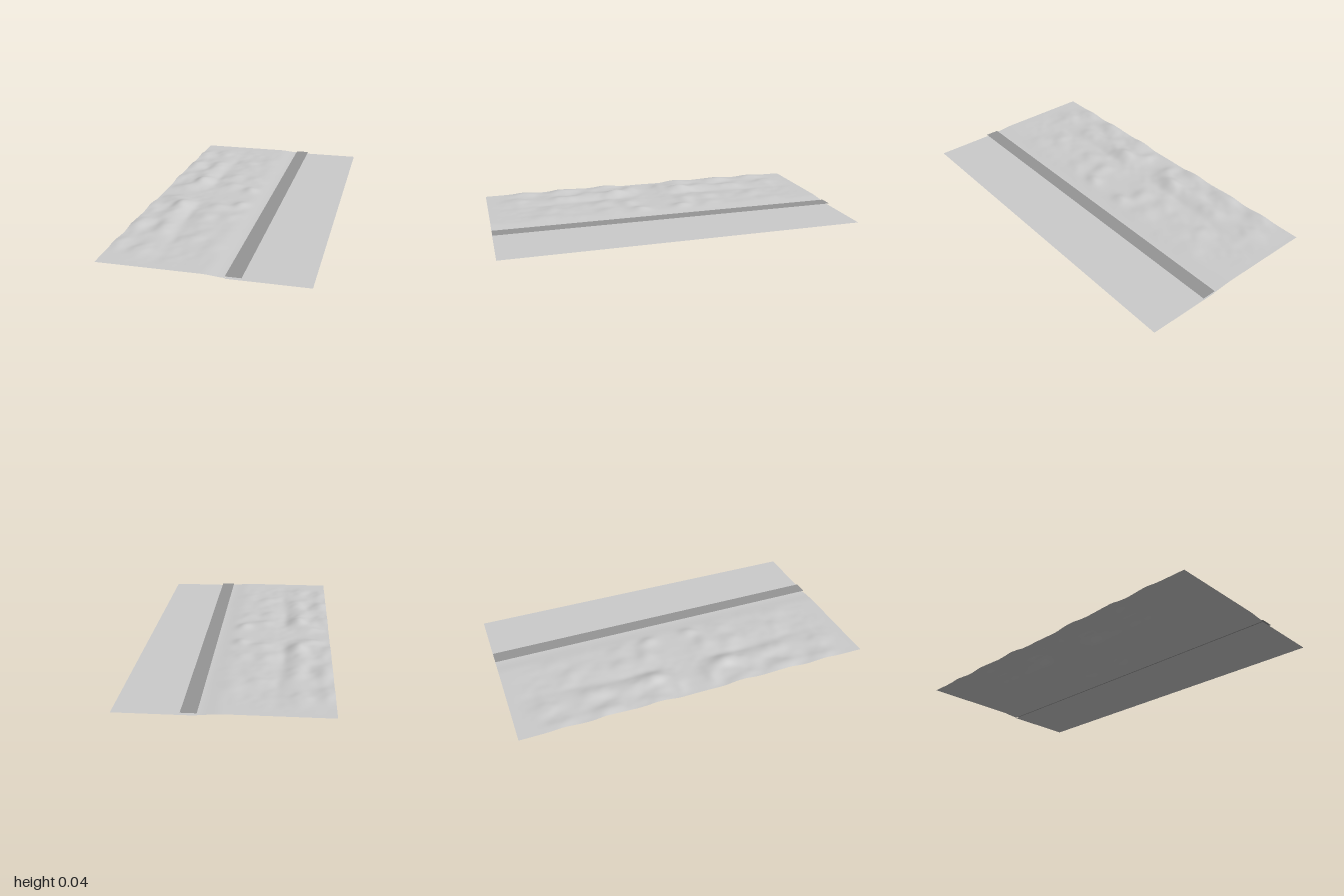
import * as THREE from 'three';

const LEFT = -0.53, SHORE = 0.12, ROAD = 0.2, RIGHT = 0.53;

// Hills of one half of the land: x, distance from the middle, radius x, radius z, height
const HILLS = [
  [-0.35, 0.22, 0.055, 0.09, 0.027], [-0.50, 0.25, 0.06, 0.08, 0.016],
  [-0.49, 0.52, 0.05, 0.09, 0.015], [-0.39, 0.38, 0.06, 0.08, 0.012],
  [-0.34, 0.56, 0.05, 0.10, 0.012], [-0.36, 0.82, 0.06, 0.07, 0.013],
  [-0.50, 0.75, 0.05, 0.07, 0.013], [-0.42, 0.10, 0.06, 0.05, 0.011],
  [-0.14, 0.18, 0.06, 0.05, 0.011], [-0.02, 0.13, 0.04, 0.05, 0.013],
  [-0.17, 0.33, 0.05, 0.06, 0.008], [-0.04, 0.32, 0.05, 0.06, 0.007],
  [-0.13, 0.62, 0.05, 0.09, 0.006], [-0.02, 0.70, 0.05, 0.08, 0.005],
  [-0.27, 0.28, 0.03, 0.14, -0.006], [-0.25, 0.62, 0.03, 0.12, -0.004],
];

// Repeatable value noise in the range -1..1
function lattice(i, j) {
  const s = Math.sin(i * 127.1 + j * 311.7) * 43758.5453;
  return (s - Math.floor(s)) * 2 - 1;
}
function noise(x, z) {
  const i = Math.floor(x), j = Math.floor(z);
  const u = THREE.MathUtils.smoothstep(x - i, 0, 1);
  const v = THREE.MathUtils.smoothstep(z - j, 0, 1);
  const { lerp } = THREE.MathUtils;
  return lerp(lerp(lattice(i, j), lattice(i + 1, j), u),
    lerp(lattice(i, j + 1), lattice(i + 1, j + 1), u), v);
}

// Ground height, mirrored about z = 0 and falling to the road and to both ends
function landHeight(x, z) {
  const d = Math.abs(z);
  const { smoothstep } = THREE.MathUtils;
  const fade = (1 - smoothstep(x, -0.02, SHORE)) * (1 - smoothstep(d, 0.8, 1))
    * (0.3 + 0.7 * smoothstep(d, 0, 0.1));
  const rough = 0.4 + 0.6 * (1 - smoothstep(x, -0.35, 0.1));
  let relief = 0.0035 * rough * noise(x * 12, d * 11) + 0.0018 * rough * noise(x * 25 + 7, d * 22);
  for (const [hx, hz, rx, rz, h] of HILLS) {
    relief += h * Math.exp(-(((x - hx) / rx) ** 2) - ((d - hz) / rz) ** 2);
  }
  const base = 0.012 - 0.008 * smoothstep(x, 0, SHORE);
  return Math.max(0.004, base + relief * fade);
}

// Horizontal sheet between two x positions, running the full length
function sheet(name, x0, x1, y, color, segX = 1, segZ = 1) {
  const geometry = new THREE.PlaneGeometry(x1 - x0, 2, segX, segZ);
  geometry.rotateX(-Math.PI / 2).translate((x0 + x1) / 2, y, 0);
  const mesh = new THREE.Mesh(geometry,
    new THREE.MeshStandardMaterial({ color, side: THREE.DoubleSide }));
  mesh.name = name;
  return mesh;
}

export function createModel() {
  const group = new THREE.Group();
  group.name = 'coastalLand';

  // Rolling land
  const land = sheet('hillyLand', LEFT, SHORE, 0, 0xcccccc, 60, 160);
  const p = land.geometry.attributes.position;
  for (let i = 0; i < p.count; i++) p.setY(i, landHeight(p.getX(i), p.getZ(i)));
  land.geometry.computeVertexNormals();

  // Straight road raised just above the flat ground
  const road = sheet('road', SHORE, ROAD, 0.012, 0x959595);

  // Flat ground under and beyond the road
  const flat = sheet('flatGround', SHORE, RIGHT, 0, 0xcccccc);

  group.add(land, road, flat);
  return group;
}
